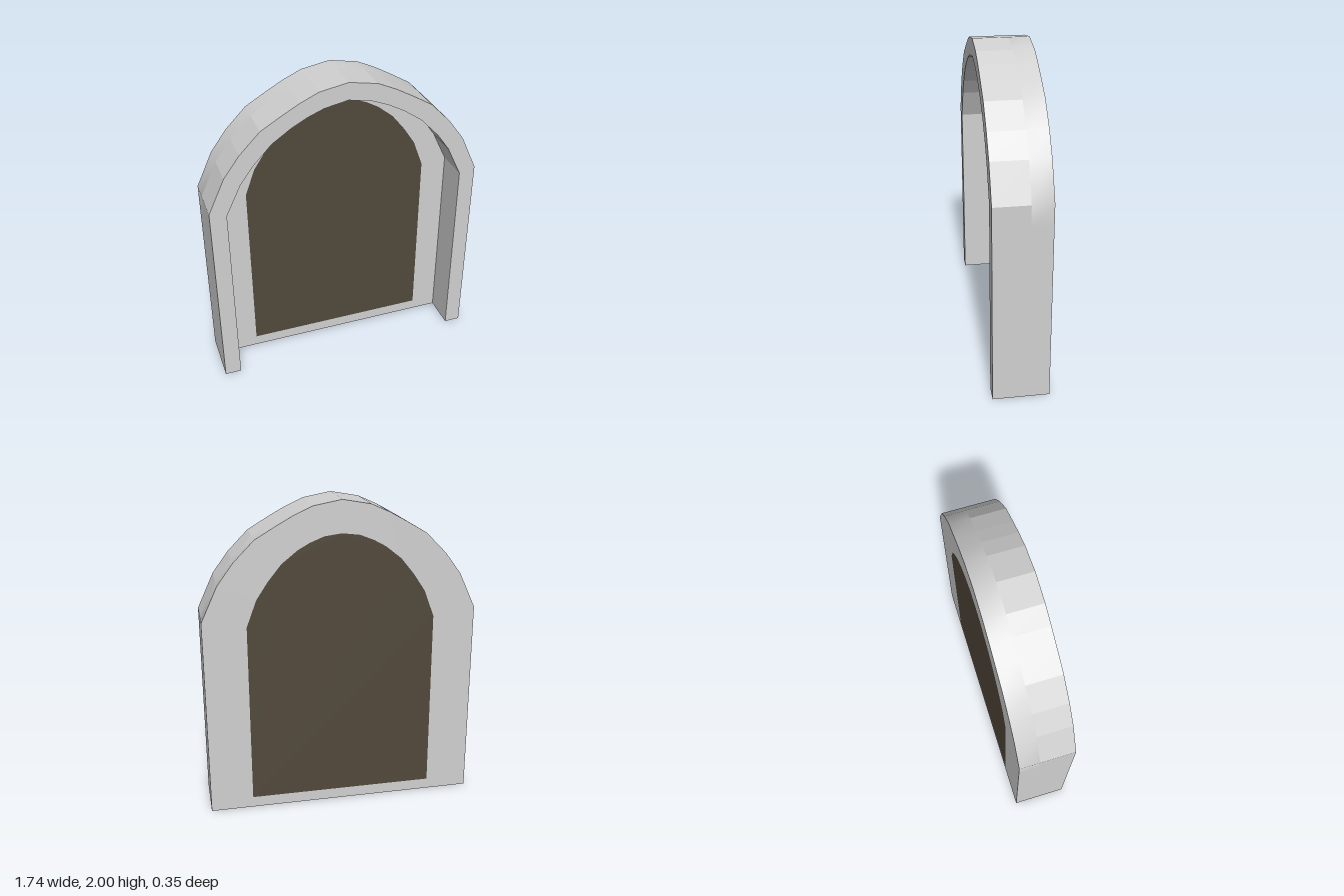
import * as THREE from 'three';
import { toCreasedNormals } from 'three/addons/utils/BufferGeometryUtils.js';

// Right half of each arch, from the springing point up to the crown
const OUTER = [[0.87, 1.285], [0.765, 1.51], [0.665, 1.645], [0.535, 1.777], [0.4, 1.857], [0.295, 1.915], [0.18, 1.967], [0, 2]];
const INNER = [[0.765, 1.255], [0.67, 1.45], [0.59, 1.56], [0.47, 1.685], [0.35, 1.767], [0.25, 1.82], [0.15, 1.86], [0, 1.89]];
const PANEL = [[0.597, 1.24], [0.533, 1.41], [0.46, 1.52], [0.375, 1.625], [0.275, 1.705], [0.2, 1.747], [0.11, 1.783], [0, 1.797]];

const BACK = -0.175, STEP = -0.045, FRONT = 0.175;

// Full arch outline, counter-clockwise from the bottom right corner; knee adds a point on each jamb
function archPoints(half, bottom, knee) {
  const w = half[0][0];
  const right = [[w, bottom], ...(knee ? [[w, knee]] : []), ...half];
  const left = right.slice(0, -1).reverse().map(([x, y]) => [-x, y]);
  return [...right, ...left].map(([x, y]) => new THREE.Vector2(x, y));
}

function slab(shape, z0, z1) {
  return new THREE.ExtrudeGeometry(shape, { depth: z1 - z0, bevelEnabled: false }).translate(0, 0, z0);
}

export function createModel() {
  const model = new THREE.Group();
  model.name = 'archedDoorway';

  const stone = new THREE.MeshStandardMaterial({ color: 0xd0d0d0 });
  stone.name = 'paleStone';
  const wood = new THREE.MeshStandardMaterial({ color: 0x51483b });
  wood.name = 'darkBrown';

  const add = (name, geometry, material) => {
    const mesh = new THREE.Mesh(geometry, material);
    mesh.name = name;
    model.add(mesh);
  };

  // Back wall with smooth arch edge and an opening for the door
  const wall = new THREE.Shape(archPoints(OUTER, 0, 1.15));
  wall.holes.push(new THREE.Path(archPoints(PANEL, 0.07).reverse()));
  add('backWall', toCreasedNormals(slab(wall, BACK, STEP), 0.6), stone);

  // Door panel, flush with both faces of the wall
  add('doorPanel', slab(new THREE.Shape(archPoints(PANEL, 0.07)), BACK, STEP), wood);

  // Faceted surround standing in front of the wall, open at the floor
  const surround = new THREE.Shape([...archPoints(OUTER, 0), ...archPoints(INNER, 0).reverse()]);
  add('archSurround', slab(surround, STEP, FRONT), stone);

  return model;
}
